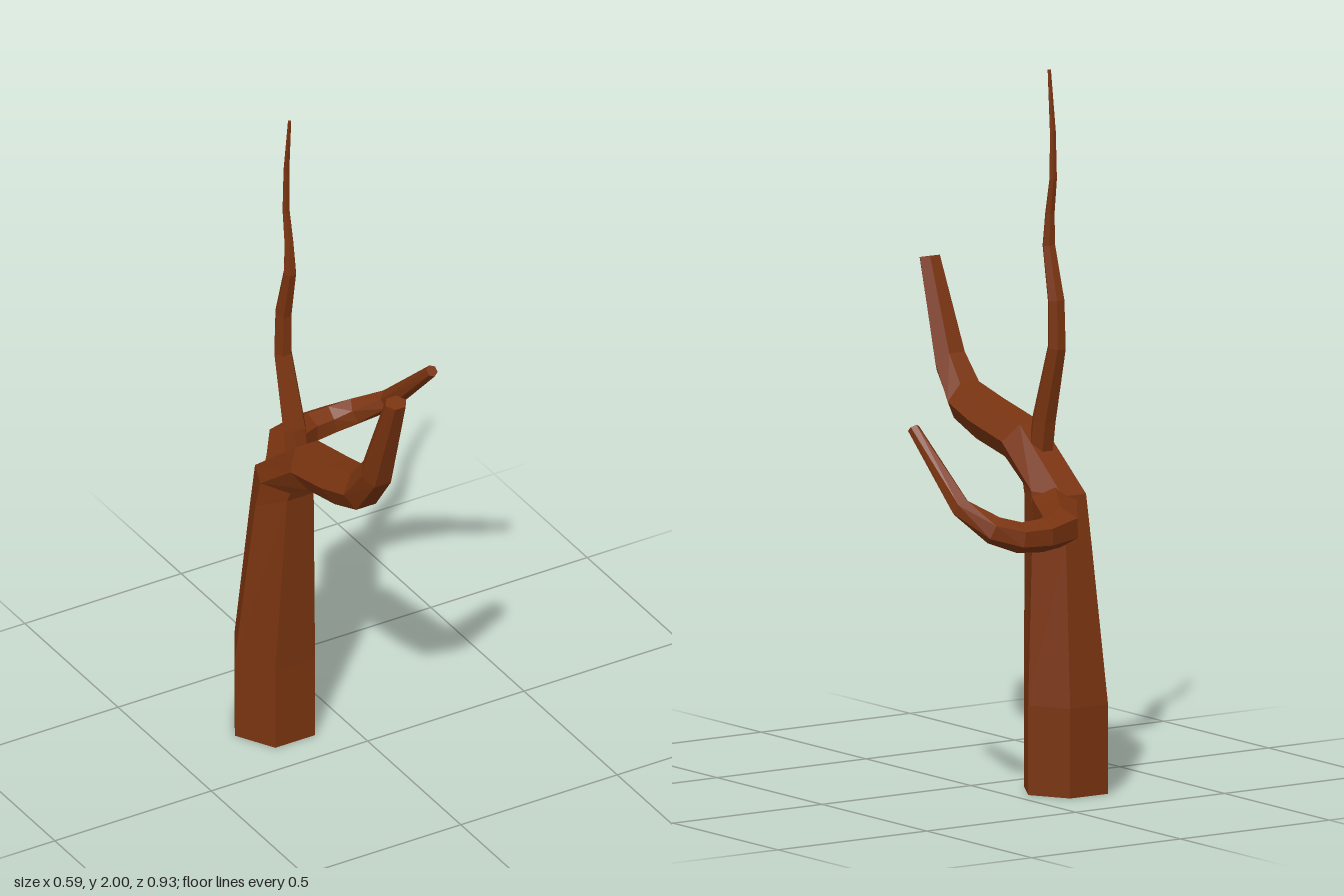
import * as THREE from 'three';

const V = (x, y, z) => new THREE.Vector3(x, y, z);
const CX = -0.172; // x of the trunk's plane
const bark = new THREE.MeshStandardMaterial({ color: 0x7a3410, flatShading: true });

// Skins a closed six-sided limb over rings { c, u, v }: u points to a corner, v to a flat side.
function loft(name, rings) {
  const positions = [];
  const loops = rings.map(({ c, u, v }) => Array.from({ length: 6 }, (_, i) => {
    const a = (i * Math.PI) / 3;
    return c.clone().addScaledVector(u, Math.cos(a))
      .addScaledVector(v, Math.sin(a) / Math.sin(Math.PI / 3));
  }));
  const tri = (...pts) => pts.forEach((p) => positions.push(p.x, p.y, p.z));
  for (let r = 0; r < loops.length - 1; r++) {
    for (let i = 0; i < 6; i++) {
      const j = (i + 1) % 6, a = loops[r], b = loops[r + 1];
      tri(a[i], a[j], b[j]);
      tri(a[i], b[j], b[i]);
    }
  }
  const last = loops.length - 1;
  for (let i = 0; i < 6; i++) {
    const j = (i + 1) % 6;
    tri(rings[0].c, loops[0][j], loops[0][i]);
    tri(rings[last].c, loops[last][i], loops[last][j]);
  }
  const geometry = new THREE.BufferGeometry();
  geometry.setAttribute('position', new THREE.Float32BufferAttribute(positions, 3));
  geometry.computeVertexNormals();
  const mesh = new THREE.Mesh(geometry, bark);
  mesh.name = name;
  return mesh;
}

// Rings square to a path of [x, y, z, radius], with a corner turned towards ref.
function pathRings(points, ref) {
  const cs = points.map(([x, y, z]) => V(x, y, z));
  return cs.map((c, i) => {
    const t = V(0, 0, 0);
    if (i > 0) t.add(c.clone().sub(cs[i - 1]).normalize());
    if (i < cs.length - 1) t.add(cs[i + 1].clone().sub(c).normalize());
    t.normalize();
    const r = points[i][3];
    const u = ref.clone().addScaledVector(t, -ref.dot(t)).normalize().multiplyScalar(r);
    const v = t.clone().cross(u).multiplyScalar(0.87);
    return { c, u, v };
  });
}

export function createModel() {
  const group = new THREE.Group();
  group.name = 'bareTree';

  // Trunk bending forward into the thick branch: front z, y, back z, y, half width
  const trunk = [
    [-0.10, 0, -0.32, 0, 0.127],
    [-0.10, 0.25, -0.32, 0.25, 0.127],
    [-0.072, 0.81, -0.27, 0.70, 0.085],
    [-0.06, 0.84, -0.25, 0.83, 0.078],
    [0.03, 0.90, -0.04, 1.0, 0.072],
    [0.17, 0.93, 0.14, 1.04, 0.07],
    [0.28, 0.97, 0.25, 1.07, 0.063],
    [0.37, 1.09, 0.31, 1.145, 0.052],
    [0.465, 1.39, 0.415, 1.4, 0.033],
  ].map(([fz, fy, bz, by, w]) => ({
    c: V(CX, (fy + by) / 2, (fz + bz) / 2),
    u: V(w, 0, 0),
    v: V(0, (by - fy) / 2, (bz - fz) / 2),
  }));
  group.add(loft('trunkAndFrontBranch', trunk));

  // Side branch hooking round the back and forward again
  group.add(loft('hookedBranch', pathRings([
    [-0.165, 0.785, -0.16, 0.075],
    [-0.09, 0.778, -0.285, 0.062],
    [-0.03, 0.775, -0.385, 0.056],
    [0.06, 0.768, -0.425, 0.047],
    [0.137, 0.77, -0.427, 0.043],
    [0.203, 0.793, -0.398, 0.04],
    [0.26, 0.85, -0.322, 0.03],
    [0.28, 1.045, -0.124, 0.017],
  ], V(0, 1, 0))));

  // Thin wavy shoot rising to the top
  group.add(loft('topShoot', pathRings([
    [CX, 0.90, -0.085, 0.036],
    [CX, 1.02, -0.105, 0.035],
    [CX, 1.23, -0.166, 0.027],
    [CX, 1.36, -0.163, 0.025],
    [CX, 1.51, -0.128, 0.019],
    [CX, 1.60, -0.133, 0.014],
    [CX, 1.70, -0.149, 0.011],
    [CX, 1.83, -0.147, 0.009],
    [CX, 2.0, -0.13, 0.005],
  ], V(1, 0, 0))));

  return group;
}
